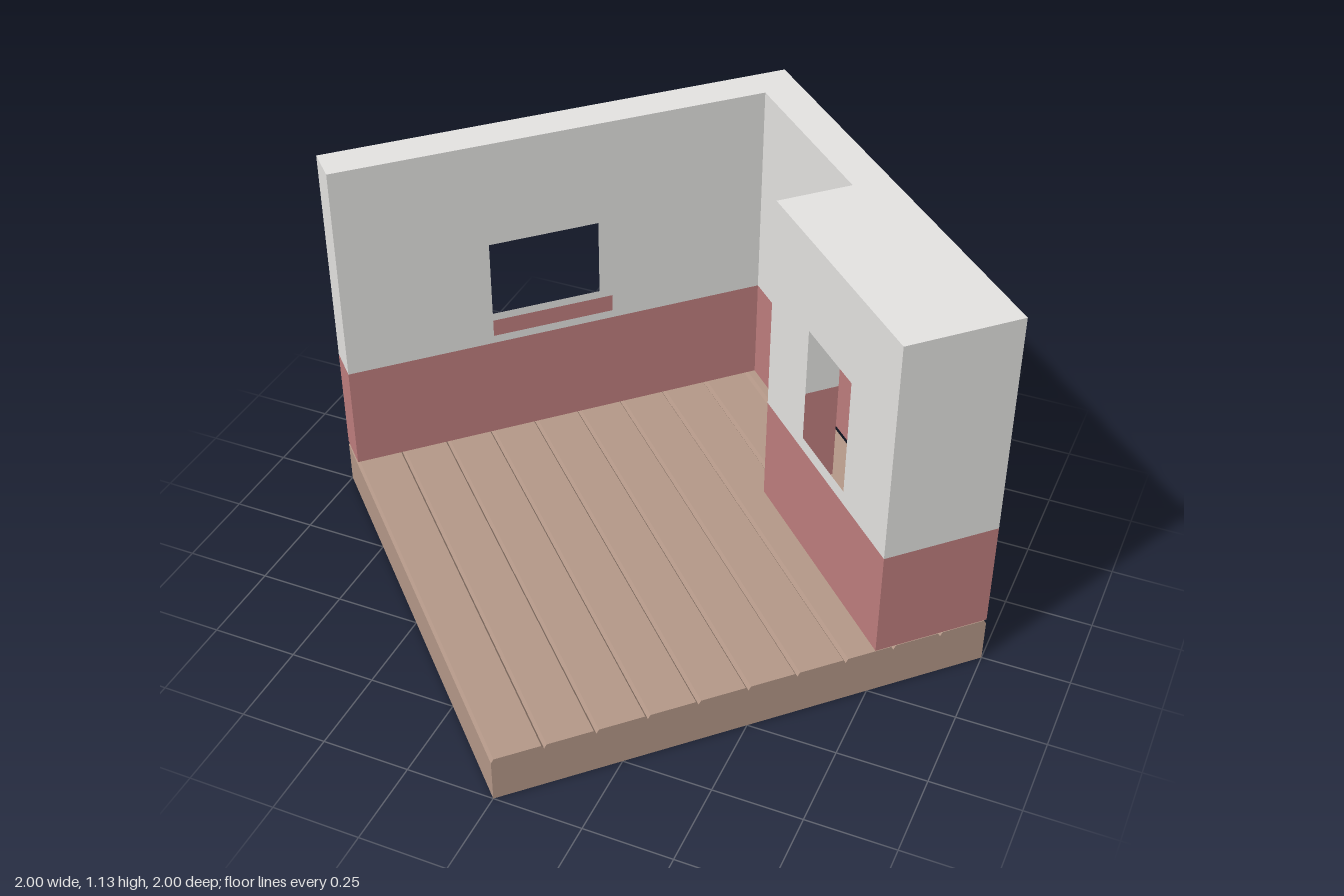
import * as THREE from 'three';

const HALF = Math.SQRT1_2;   // half of the square floor's side
const FLOOR = 0.14, SPLIT = 0.465, TOP = 1.13;
const INNER = -0.594;        // inner face of the thin walls
const PLANKS = 10;

function material(name, color, side = THREE.FrontSide) {
  const m = new THREE.MeshStandardMaterial({ color, side });
  m.name = name;
  return m;
}

function add(parent, name, geometry, mat) {
  const mesh = new THREE.Mesh(geometry, mat);
  mesh.name = name;
  parent.add(mesh);
  return mesh;
}

// Rectangle path from two corners
function rect(Type, x0, y0, x1, y1) {
  const r = new Type();
  r.moveTo(x0, y0);
  r.lineTo(x1, y0);
  r.lineTo(x1, y1);
  r.lineTo(x0, y1);
  r.closePath();
  return r;
}

export function createModel() {
  const plaster = material('pale grey plaster', 0xe4e3e1, THREE.DoubleSide);
  const red = material('dusty red paint', 0xbe7d7d, THREE.DoubleSide);
  const wood = material('brown wood', 0xb49888);

  const model = new THREE.Group();
  model.name = 'roomCorner';
  // The square room stands with one corner to the front
  const room = new THREE.Group();
  room.name = 'room';
  room.rotation.y = -Math.PI / 4;
  model.add(room);

  // Floor planks with bevelled top edges, so that grooves run between them
  const floor = new THREE.Group();
  floor.name = 'floor';
  room.add(floor);
  const w = HALF * 2 / PLANKS, h = w / 2, cx = 0.007, cy = 0.012;
  const profile = new THREE.Shape([
    [-h, 0], [h, 0], [h, FLOOR - cy], [h - cx, FLOOR], [-h + cx, FLOOR], [-h, FLOOR - cy],
  ].map(([x, y]) => new THREE.Vector2(x, y)));
  const plank = new THREE.ExtrudeGeometry(profile, { depth: HALF * 2, bevelEnabled: false });
  plank.translate(0, 0, -HALF);
  plank.rotateY(Math.PI / 2);
  for (let i = 0; i < PLANKS; i++) {
    add(floor, 'plank', plank, wood).position.z = -HALF + w * (i + 0.5);
  }

  // Hollow walls: plan outline [x, z], each side with an optional opening
  // given as [start, bottom, end, top] along that side
  const walls = new THREE.Group();
  walls.name = 'walls';
  room.add(walls);
  const sides = [
    { at: [-HALF, -HALF], name: 'windowWallOutside', hole: [0.594, 0.49, 0.969, 0.805] },
    { at: [-HALF, HALF], name: 'windowWallEnd' },
    { at: [INNER, HALF], name: 'windowWallInside', hole: [0.445, 0.49, 0.82, 0.805] },
    { at: [INNER, INNER], name: 'alcoveBack' },
    { at: [-0.022, INNER], name: 'alcoveSide' },
    { at: [-0.022, -0.37], name: 'thickWallInside', hole: [0.232, 0.505, 0.486, 0.86] },
    { at: [HALF, -0.37], name: 'thickWallEnd' },
    { at: [HALF, -HALF], name: 'thickWallOutside' },
  ];
  sides.forEach(({ at: [x, z], name, hole }, i) => {
    const [nx, nz] = sides[(i + 1) % sides.length].at;
    const length = Math.hypot(nx - x, nz - z);
    const side = new THREE.Group();
    side.name = name;
    side.position.set(x, 0, z);
    side.rotation.y = Math.atan2(z - nz, nx - x);
    walls.add(side);

    const upper = rect(THREE.Shape, 0, SPLIT, length, TOP);
    if (hole) upper.holes.push(rect(THREE.Path, ...hole));
    add(side, 'upperWall', new THREE.ShapeGeometry(upper), plaster);
    const lower = rect(THREE.Shape, 0, FLOOR + 0.002, length, SPLIT);
    add(side, 'lowerWall', new THREE.ShapeGeometry(lower), red);
  });

  // Flat cap that closes the walls at the top
  const plan = new THREE.Shape(sides.map(({ at: [x, z] }) => new THREE.Vector2(x, -z)));
  const cap = new THREE.ShapeGeometry(plan);
  cap.rotateX(-Math.PI / 2);
  add(walls, 'wallTop', cap, plaster).position.y = TOP;

  return model;
}
